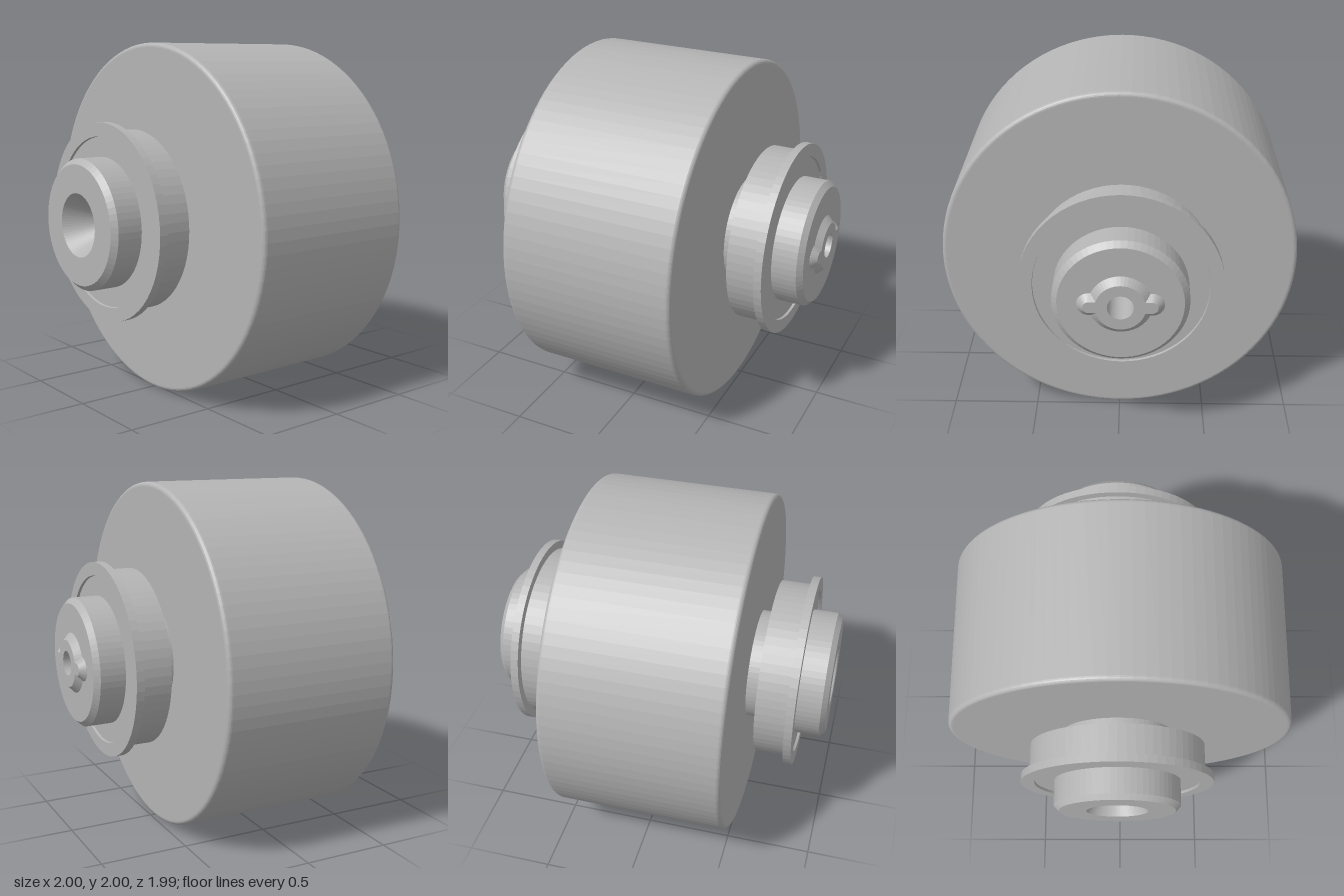
import * as THREE from 'three';

const AXIS_X = -0.015, AXIS_Y = 1.01; // shaft axis sits slightly off the drum centre

// Faceted solid of revolution about z; points are [radius, z], counter-clockwise
function turned(name, points, segments, material, x = AXIS_X, y = AXIS_Y) {
  const pts = points.map(([r, z]) => new THREE.Vector2(r, z));
  const geo = new THREE.LatheGeometry(pts, segments).rotateX(Math.PI / 2).toNonIndexed();
  geo.computeVertexNormals();
  const mesh = new THREE.Mesh(geo, material);
  mesh.name = name;
  mesh.position.set(x, y, 0);
  return mesh;
}

// Quarter-circle fillet points
function fillet(r, z, radius, start) {
  const out = [];
  for (let i = 0; i <= 5; i++) {
    const a = start + (i / 5) * Math.PI / 2;
    out.push([r + radius * Math.cos(a), z + radius * Math.sin(a)]);
  }
  return out;
}

export function createModel() {
  const model = new THREE.Group();
  model.name = 'eccentricRoller';
  const steel = new THREE.MeshStandardMaterial({ color: 0xb4b4b4 });
  steel.name = 'steel grey';

  // Large drum with rounded rims
  const f = 0.025, back = -0.484, front = 0.53;
  model.add(turned('drum', [
    [0.3, back],
    ...fillet(1 - f, back + f, f, -Math.PI / 2),
    ...fillet(1 - f, front - f, f, 0),
    [0.3, front],
  ], 96, steel, 0, 1));

  // Stepped hollow shaft: tapered front socket, chamfered ends, through bore
  model.add(turned('shaft', [
    [0.07, -0.96], [0.335, -0.96], [0.365, -0.93], [0.365, -0.7],
    [0.316, -0.7], [0.316, 0.7], [0.365, 0.7],
    [0.365, 0.965], [0.335, 0.995], [0.177, 0.995],
    [0.087, 0.84], [0.087, 0.3], [0.07, 0.3], [0.07, -0.96],
  ], 64, steel));

  // Flanged bearings with a shallow recessed face
  const bearing = (inner, step, outer) => [
    [0.3, inner], [0.508, inner], [0.508, step], [0.556, step],
    [0.556, outer], [0.479, outer], [0.477, outer - 0.015], [0.3, outer - 0.015],
  ];
  model.add(turned('frontBearing', bearing(0.615, 0.791, 0.836), 64, steel));
  const rear = bearing(0.581, 0.757, 0.802).map(([r, z]) => [r, -z]).reverse();
  model.add(turned('rearBearing', rear, 64, steel));

  // Raised drive collar on the rear end
  model.add(turned('driveCollar', [
    [0.07, -0.95], [0.07, -0.995], [0.133, -0.995], [0.17, -0.96], [0.17, -0.95],
  ], 48, steel));

  // Two rounded, bevelled drive lugs
  for (const side of [-1, 1]) {
    const w = 0.033, end = 0.165;
    const shape = new THREE.Shape();
    shape.moveTo(0.11, -w);
    shape.lineTo(end, -w);
    shape.absarc(end, 0, w, -Math.PI / 2, Math.PI / 2, false);
    shape.lineTo(0.11, w);
    shape.closePath();
    const geo = new THREE.ExtrudeGeometry(shape, {
      depth: 0.02, bevelEnabled: true, bevelThickness: 0.034,
      bevelSize: 0.034, bevelSegments: 1, curveSegments: 10,
    });
    const lug = new THREE.Mesh(geo, steel);
    lug.name = side > 0 ? 'leftDriveLug' : 'rightDriveLug';
    lug.rotation.z = side > 0 ? 0 : Math.PI;
    lug.position.set(AXIS_X, AXIS_Y, -0.961);
    model.add(lug);
  }
  return model;
}
